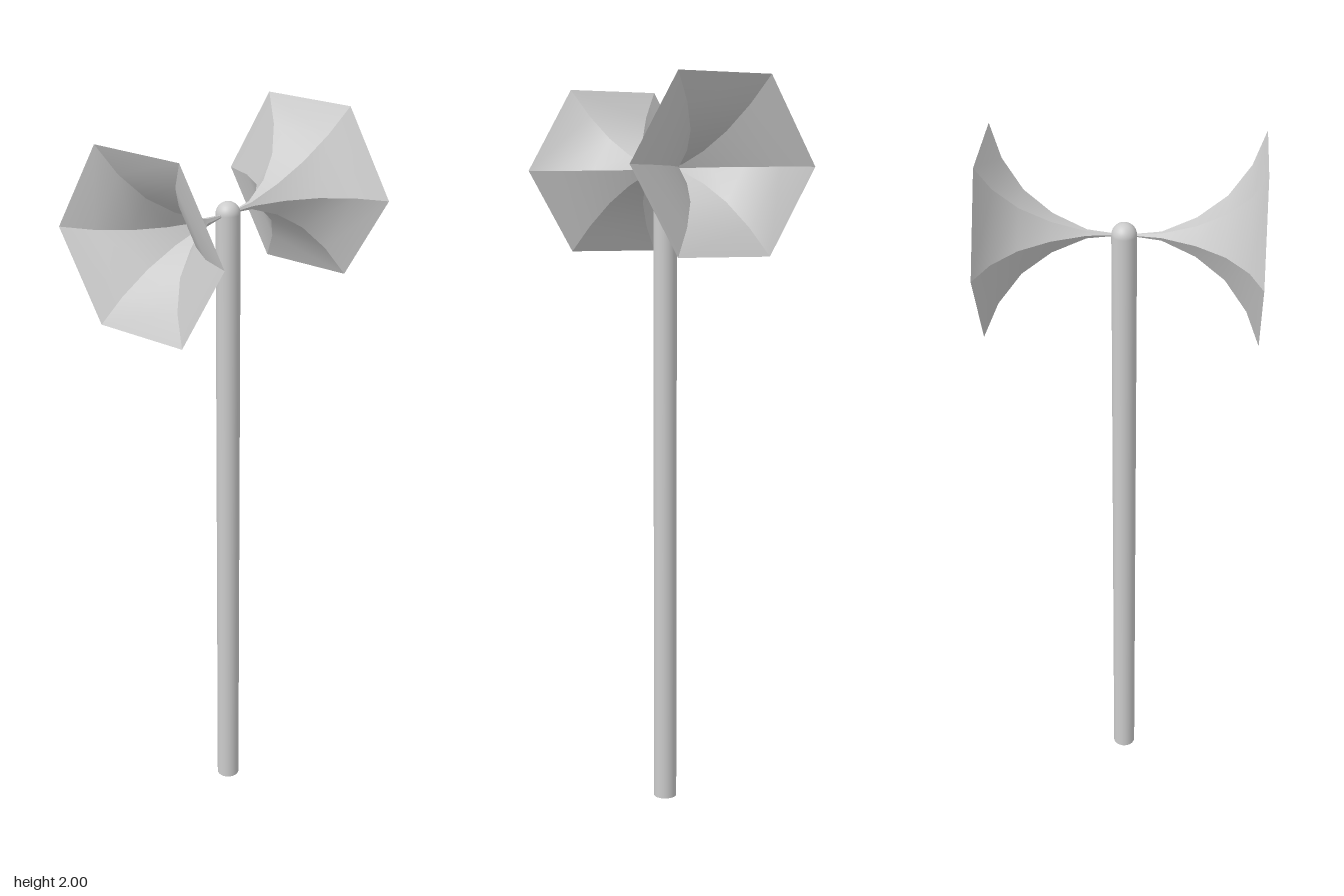
import * as THREE from 'three';
import { mergeGeometries, toCreasedNormals } from 'three/addons/utils/BufferGeometryUtils.js';

const HEAD_Y = 1.773; // height of the horn axis
const POLE_R = 0.032;

// Six-sided flared horn opening along +z: smooth along its length, sharp between panels
function hornGeometry() {
  const profile = [[0.0005, 0], [0.011, 0.092], [0.048, 0.178], [0.103, 0.252], [0.178, 0.308], [0.262, 0.342]]
    .map(([r, y]) => new THREE.Vector2(r, y));
  const panels = [];
  for (let i = 0; i < 6; i++) {
    const panel = new THREE.LatheGeometry(profile, 1, Math.PI / 6 + i * Math.PI / 3, Math.PI / 3);
    panels.push(toCreasedNormals(panel, 0.6));
  }
  return mergeGeometries(panels).rotateX(Math.PI / 2);
}

export function createModel() {
  const model = new THREE.Group();
  model.name = 'hornPost';
  const solid = new THREE.MeshStandardMaterial({ color: 0xcccccc });
  const sheet = new THREE.MeshStandardMaterial({ color: 0xcccccc, side: THREE.DoubleSide });

  const add = (name, geometry, material, y) => {
    const mesh = new THREE.Mesh(geometry, material);
    mesh.name = name;
    mesh.position.y = y;
    model.add(mesh);
    return mesh;
  };

  // Post with a rounded top
  add('pole', new THREE.CylinderGeometry(POLE_R, POLE_R, HEAD_Y, 32), solid, HEAD_Y / 2);
  add('poleCap', new THREE.SphereGeometry(POLE_R, 32, 16), solid, HEAD_Y);

  // Two horns back to back
  const horn = hornGeometry();
  add('frontHorn', horn, sheet, HEAD_Y);
  add('backHorn', horn, sheet, HEAD_Y).rotation.y = Math.PI;

  return model;
}
